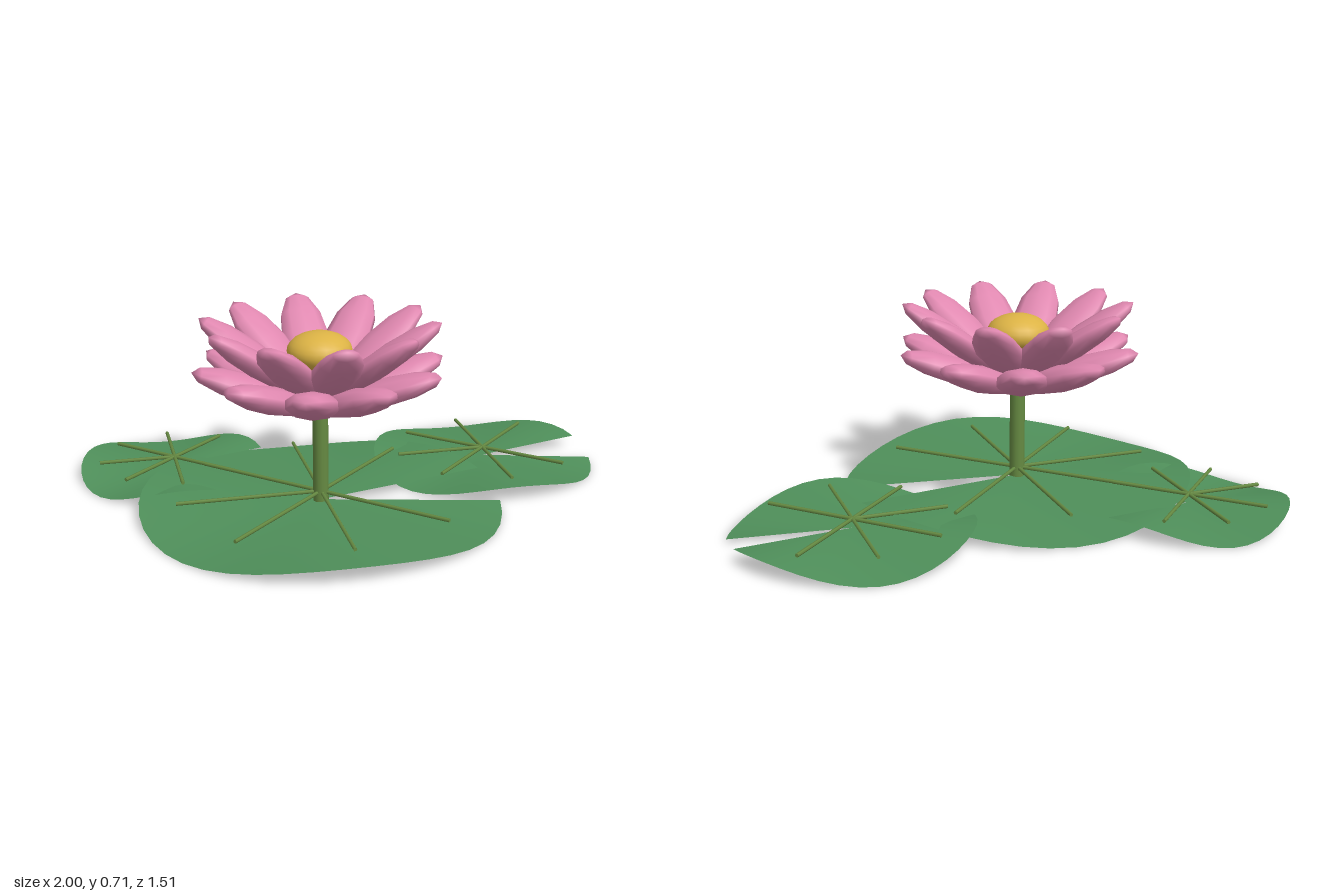
import * as THREE from 'three';

const material = (name, color, side = THREE.FrontSide) => {
  const m = new THREE.MeshStandardMaterial({ color, side });
  m.name = name;
  return m;
};

export function createModel() {
  const leafGreen = material('leaf green', 0x4f8f5a, THREE.DoubleSide);
  const stemGreen = material('stem green', 0x668a42);
  const petalPink = material('petal pink', 0xe088b0);
  const gold = material('golden yellow', 0xdcb345);

  const model = new THREE.Group();
  model.name = 'waterLily';

  const add = (parent, name, geometry, mat) => {
    const mesh = new THREE.Mesh(geometry, mat);
    mesh.name = name;
    parent.add(mesh);
    return mesh;
  };

  // Floating pad: notched disc with a three-wave rim, plus seven straight veins
  const NOTCH = 0.195;
  function addPad(name, x, z, radius) {
    const pad = new THREE.Group();
    pad.name = name;
    pad.position.set(x, 0, z);

    const leaf = new THREE.CircleGeometry(radius, 40, NOTCH, Math.PI * 2 - NOTCH * 2);
    leaf.rotateX(-Math.PI / 2);
    const p = leaf.attributes.position;
    for (let i = 0; i < p.count; i++) {
      const px = p.getX(i), pz = p.getZ(i);
      const wave = Math.sin(3 * Math.atan2(-pz, px)) * Math.hypot(px, pz) / radius;
      p.setY(i, 0.0305 + 0.03 * wave);
    }
    leaf.computeVertexNormals();
    add(pad, 'leaf', leaf, leafGreen);

    const length = radius * 0.8;
    const vein = new THREE.CylinderGeometry(0.007, 0.007, length, 6);
    vein.rotateZ(Math.PI / 2);
    vein.translate(length / 2, 0.064, 0);
    for (let i = 1; i < 8; i++) {
      add(pad, 'vein', vein, stemGreen).rotation.y = i * Math.PI / 4;
    }
    model.add(pad);
  }
  addPad('mainPad', -0.155, 0.088, 0.663);
  addPad('leftPad', 0.573, -0.217, 0.434);
  addPad('rightPad', -0.638, -0.398, 0.362);

  // Flower on its stem
  const flower = new THREE.Group();
  flower.name = 'flower';
  flower.position.set(-0.155, 0, 0.088);
  model.add(flower);

  const stem = new THREE.CylinderGeometry(0.029, 0.029, 0.44, 12);
  stem.translate(0, 0.24, 0);
  add(flower, 'stem', stem, stemGreen);

  // Ring of ten tilted ellipsoid petals, tips pointing outward
  function addPetals(name, { start, tilt, width, thickness, length, reach, height }) {
    const ring = new THREE.Group();
    ring.name = name;
    const petal = new THREE.SphereGeometry(1, 10, 6);
    petal.rotateZ(-Math.PI / 2);
    petal.scale(length, thickness, width);
    petal.rotateZ(tilt);
    petal.translate(reach, height, 0);
    for (let i = 0; i < 10; i++) {
      add(ring, 'petal', petal, petalPink).rotation.y = start + i * Math.PI / 5;
    }
    flower.add(ring);
  }
  addPetals('lowerPetals', {
    start: 0, tilt: 0.35, width: 0.097, thickness: 0.05, length: 0.22, reach: 0.25, height: 0.473,
  });
  addPetals('upperPetals', {
    start: Math.PI / 10, tilt: 0.61, width: 0.09, thickness: 0.045, length: 0.22, reach: 0.25, height: 0.582,
  });

  // Flattened golden centre
  const heart = new THREE.SphereGeometry(0.118, 20, 14);
  heart.scale(1, 0.6, 1);
  heart.translate(0, 0.597, 0);
  add(flower, 'flowerCentre', heart, gold);

  return model;
}
